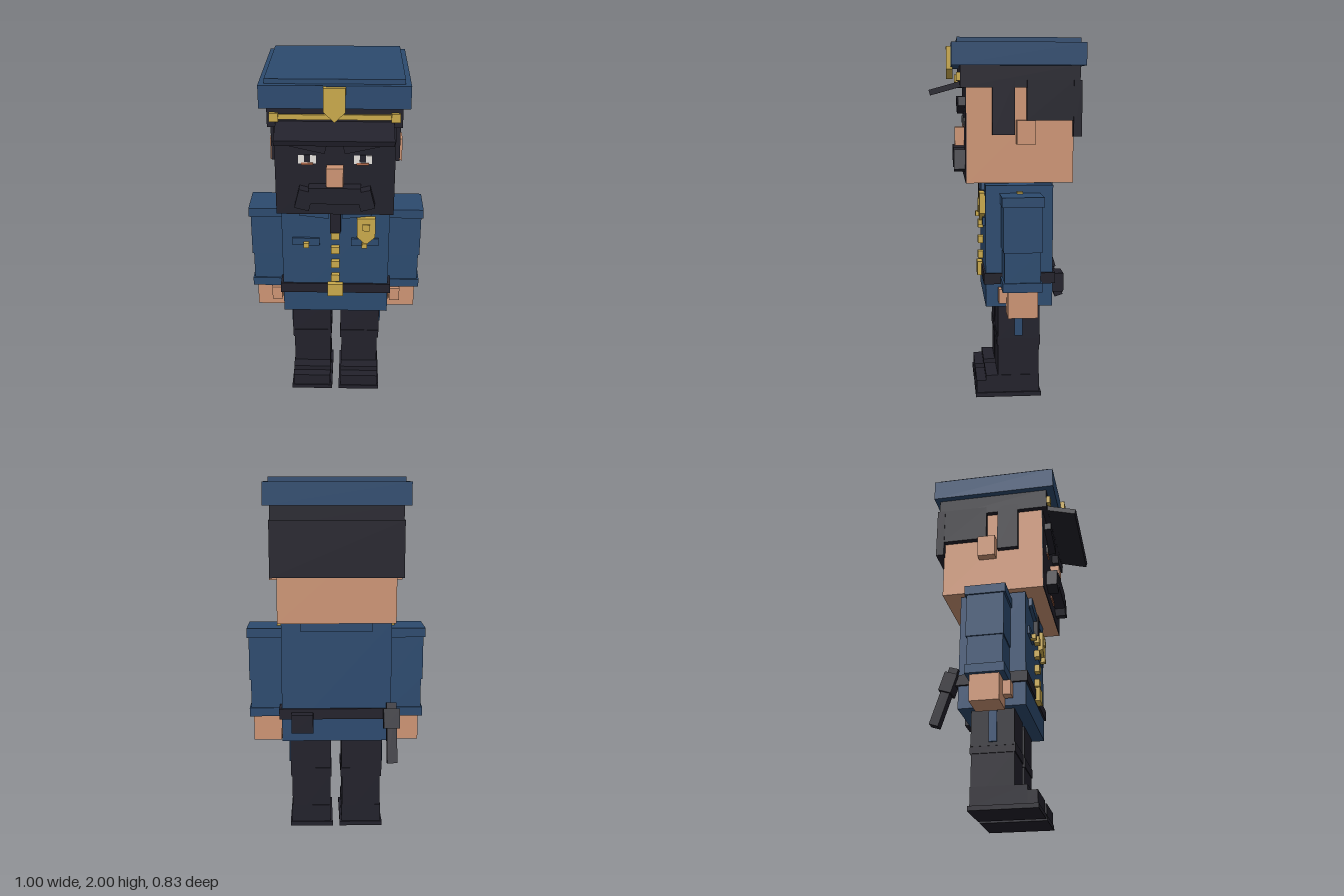
import * as THREE from 'three';

const mat = (name, color) => {
  const m = new THREE.MeshStandardMaterial({ color });
  m.name = name;
  return m;
};

export function createModel() {
  const root = new THREE.Group();
  root.name = 'officer';
  const navy = mat('navy cloth', 0x2c4a6e);
  const dark = mat('black leather', 0x22212b);
  const skin = mat('skin', 0xcc9474);
  const gold = mat('gold', 0xc9a94b);
  const white = mat('eye white', 0xe4e0dc);
  const lip = mat('lip', 0xb06a4c);

  const section = (name) => {
    const g = new THREE.Group();
    g.name = name;
    root.add(g);
    return g;
  };
  // Box given by its min and max on each axis
  const box = (parent, name, m, [x0, x1], [y0, y1], [z0, z1]) => {
    const b = new THREE.Mesh(new THREE.BoxGeometry(x1 - x0, y1 - y0, z1 - z0), m);
    b.position.set((x0 + x1) / 2, (y0 + y1) / 2, (z0 + z1) / 2);
    b.name = name;
    parent.add(b);
    return b;
  };
  // The same box on the side s (+1 or -1)
  const sideBox = (parent, name, m, s, [a, b], y, z) =>
    box(parent, name, m, s > 0 ? [a, b] : [-b, -a], y, z);
  // Five-sided shield, flat on top and pointed below
  const shield = (parent, name, x, y0, y1, z0, z1, w) => {
    const ys = y0 + (y1 - y0) * 0.3;
    const s = new THREE.Shape();
    s.moveTo(0, y0);
    s.lineTo(w, ys);
    s.lineTo(w, y1);
    s.lineTo(-w, y1);
    s.lineTo(-w, ys);
    s.closePath();
    const g = new THREE.ExtrudeGeometry(s, { depth: z1 - z0, bevelEnabled: false });
    const b = new THREE.Mesh(g, gold);
    b.position.set(x, 0, z0);
    b.name = name;
    parent.add(b);
  };

  // Head and face
  const head = section('head');
  box(head, 'skull', skin, [-0.32, 0.32], [1.23, 1.8], [-0.36, 0.217]);
  box(head, 'facePlate', dark, [-0.32, 0.32], [1.23, 1.8], [0.217, 0.222]);
  box(head, 'nose', skin, [-0.045, 0.045], [1.415, 1.52], [0.22, 0.275]);
  box(head, 'moustache', dark, [-0.14, 0.14], [1.32, 1.412], [0.22, 0.285]);
  box(head, 'mouth', lip, [-0.055, 0.055], [1.298, 1.315], [0.22, 0.23]);
  box(head, 'backHair', dark, [-0.355, 0.355], [1.48, 1.78], [-0.4, -0.355]);
  for (const s of [1, -1]) {
    const brow = sideBox(head, 'eyebrow', dark, s, [0.045, 0.255], [1.62, 1.67], [0.22, 0.26]);
    brow.rotation.z = s * 0.22;
    const tip = sideBox(head, 'moustacheEnd', dark, s, [0.125, 0.205], [1.285, 1.395], [0.22, 0.283]);
    tip.rotation.z = s * 0.25;
    sideBox(head, 'eye', white, s, [0.1, 0.195], [1.53, 1.577], [0.22, 0.227]);
    sideBox(head, 'pupil', dark, s, [0.131, 0.164], [1.54, 1.579], [0.22, 0.23]);
    sideBox(head, 'lowerLid', lip, s, [0.115, 0.18], [1.522, 1.535], [0.22, 0.229]);
    sideBox(head, 'ear', skin, s, [0.31, 0.37], [1.44, 1.567], [-0.15, -0.05]);
    sideBox(head, 'sideburn', dark, s, [0.31, 0.35], [1.49, 1.78], [-0.04, 0.08]);
    sideBox(head, 'sideHair', dark, s, [0.31, 0.352], [1.567, 1.78], [-0.36, -0.105]);
  }

  // Peaked cap
  const cap = section('cap');
  box(cap, 'capBand', dark, [-0.35, 0.35], [1.74, 1.86], [-0.39, 0.25]);
  box(cap, 'capCrown', navy, [-0.385, 0.385], [1.855, 1.975], [-0.417, 0.295]);
  box(cap, 'capTop', navy, [-0.355, 0.355], [1.97, 2.0], [-0.39, 0.265]);
  const visor = box(cap, 'visor', dark, [-0.305, 0.305], [1.723, 1.753], [0.225, 0.415]);
  visor.rotation.x = 0.27;
  box(cap, 'capStrap', gold, [-0.32, 0.32], [1.785, 1.812], [0.245, 0.262]);
  for (const s of [1, -1]) sideBox(cap, 'strapButton', gold, s, [0.29, 0.337], [1.775, 1.82], [0.24, 0.27]);
  shield(cap, 'capBadge', 0, 1.79, 1.97, 0.285, 0.32, 0.056);

  // Jacket
  const jacket = section('jacket');
  box(jacket, 'torso', navy, [-0.305, 0.305], [0.54, 1.215], [-0.255, 0.115]);
  box(jacket, 'neck', skin, [-0.12, 0.12], [1.2, 1.24], [-0.2, 0.08]);
  box(jacket, 'collar', navy, [-0.2, 0.2], [1.17, 1.228], [-0.265, 0.118]);
  for (const s of [1, -1]) {
    const lapel = sideBox(jacket, 'collarFlap', navy, s, [0.035, 0.2], [1.168, 1.222], [0.11, 0.135]);
    lapel.rotation.z = s * 0.12;
    sideBox(jacket, 'pocketFlap', navy, s, [0.09, 0.245], [0.985, 1.03], [0.11, 0.128]);
    sideBox(jacket, 'pocketButton', gold, s, [0.15, 0.18], [0.98, 1.01], [0.12, 0.152]);
  }
  box(jacket, 'tie', dark, [-0.03, 0.03], [1.07, 1.21], [0.11, 0.14]);
  for (const y of [1.05, 0.96, 0.868, 0.778])
    box(jacket, 'button', gold, [-0.024, 0.024], [y - 0.021, y + 0.021], [0.11, 0.145]);
  shield(jacket, 'chestBadge', 0.173, 1.0, 1.165, 0.11, 0.145, 0.052);
  box(jacket, 'badgeStud', gold, [0.153, 0.193], [1.092, 1.13], [0.14, 0.153]);

  // Belt with pouch and baton
  const belt = section('belt');
  box(belt, 'beltStrap', dark, [-0.32, 0.32], [0.67, 0.73], [-0.268, 0.126]);
  box(belt, 'buckle', gold, [-0.045, 0.045], [0.66, 0.74], [0.12, 0.15]);
  box(belt, 'pouch', dark, [0.13, 0.25], [0.605, 0.71], [-0.325, -0.255]);
  const baton = new THREE.Group();
  baton.name = 'baton';
  baton.position.set(-0.305, 0.61, -0.325);
  baton.rotation.x = 0.31;
  belt.add(baton);
  box(baton, 'batonShaft', dark, [-0.028, 0.028], [-0.17, 0.165], [-0.026, 0.026]);
  box(baton, 'batonHolder', dark, [-0.045, 0.045], [0.02, 0.13], [-0.036, 0.036]);

  // Arms and legs, mirrored
  for (const s of [1, -1]) {
    const arm = section(s > 0 ? 'leftArm' : 'rightArm');
    sideBox(arm, 'shoulder', navy, s, [0.3, 0.5], [1.12, 1.172], [-0.185, 0.04]);
    sideBox(arm, 'upperSleeve', navy, s, [0.303, 0.49], [0.875, 1.125], [-0.175, 0.03]);
    sideBox(arm, 'lowerSleeve', navy, s, [0.305, 0.482], [0.7, 0.88], [-0.168, 0.025]);
    sideBox(arm, 'cuff', navy, s, [0.303, 0.492], [0.662, 0.712], [-0.177, 0.035]);
    sideBox(arm, 'epauletteButton', gold, s, [0.305, 0.335], [1.165, 1.182], [-0.085, -0.055]);
    sideBox(arm, 'hand', skin, s, [0.312, 0.47], [0.515, 0.67], [-0.155, 0.005]);
    sideBox(arm, 'thumb', skin, s, [0.32, 0.38], [0.575, 0.655], [0, 0.048]);

    const leg = section(s > 0 ? 'leftLeg' : 'rightLeg');
    sideBox(leg, 'trouserLeg', dark, s, [0.03, 0.262], [0.34, 0.56], [-0.19, 0.045]);
    sideBox(leg, 'trouserStripe', navy, s, [0.255, 0.272], [0.36, 0.55], [-0.092, -0.048]);
    sideBox(leg, 'bootShaft', dark, s, [0.034, 0.253], [0.02, 0.31], [-0.188, 0.045]);
    sideBox(leg, 'bootCuff', dark, s, [0.026, 0.26], [0.302, 0.354], [-0.194, 0.05]);
    sideBox(leg, 'bootFoot', dark, s, [0.032, 0.257], [0.02, 0.125], [-0.19, 0.112]);
    sideBox(leg, 'bootToe', dark, s, [0.032, 0.257], [0.02, 0.096], [0.1, 0.165]);
    sideBox(leg, 'bootSole', dark, s, [0.02, 0.266], [0, 0.025], [-0.2, 0.17]);
  }
  return root;
}
